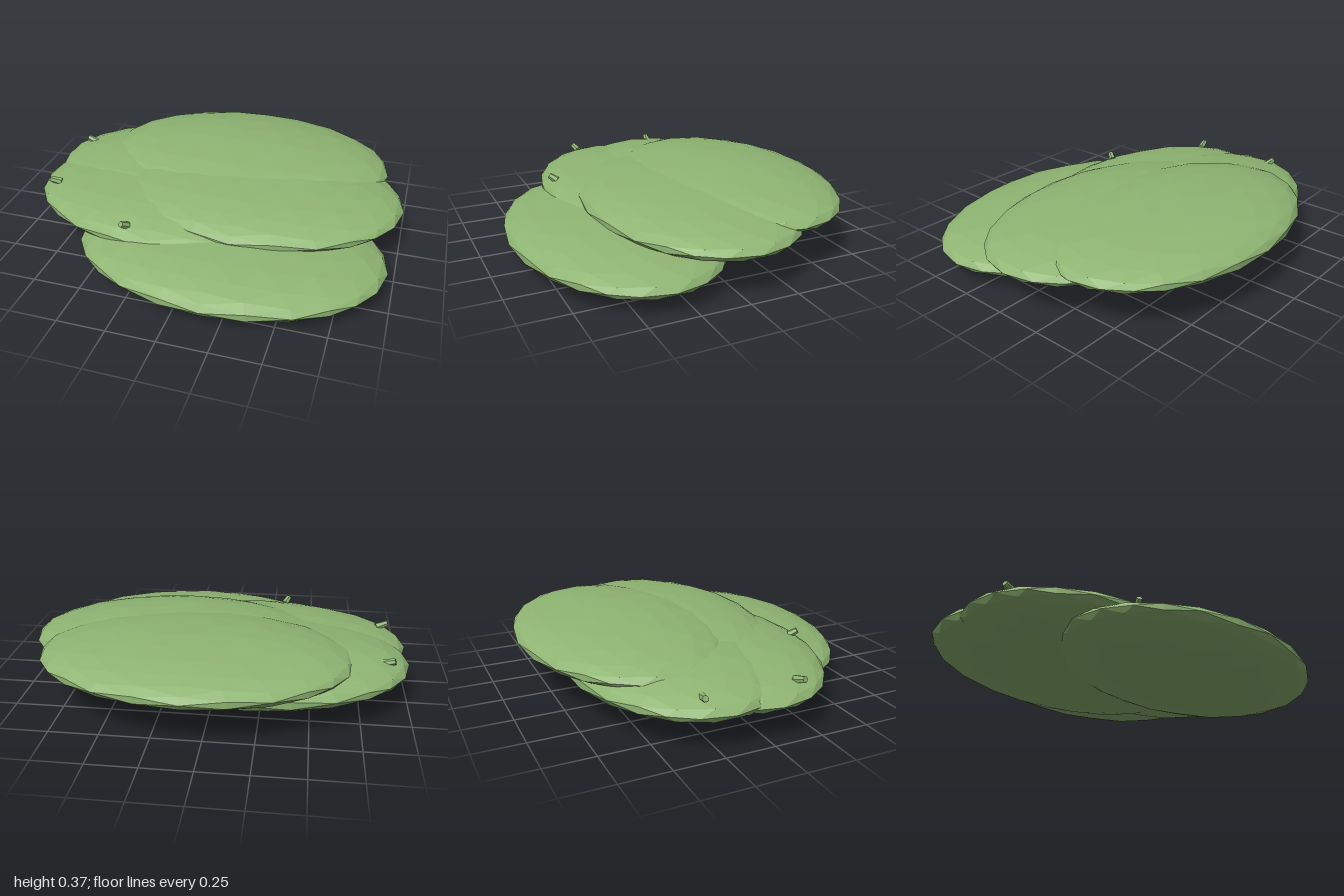
import * as THREE from 'three';

export function createModel() {
  const model = new THREE.Group();
  model.name = 'padCluster';
  const green = new THREE.MeshStandardMaterial({ color: 0x8fb573, flatShading: true });
  green.name = 'leaf green';

  // Overlapping flattened pads: name, centre, half thickness
  const pads = [
    ['frontPad', 0.17, 0.115, 0.35, 0.115],
    ['leftFrontPad', -0.2, 0.183, 0.04, 0.112],
    ['leftBackPad', -0.2, 0.193, -0.2, 0.123],
    ['middlePad', 0.2, 0.23, -0.05, 0.112],
    ['backPad', 0.085, 0.26, -0.35, 0.112],
  ];
  const padGeometry = new THREE.IcosahedronGeometry(1, 3);
  for (const [name, x, y, z, thickness] of pads) {
    const pad = new THREE.Mesh(padGeometry, green);
    pad.name = name;
    pad.position.set(x, y, z);
    pad.scale.set(0.8, thickness, 0.535);
    model.add(pad);
  }

  // Small stubby spines on the upper rims: centre, direction, length
  const spines = [
    [[-0.885, 0.25, -0.305], [-1, 0.3, -0.2], 0.065],
    [[-0.885, 0.245, 0.19], [-1, 0.3, 0.25], 0.065],
    [[-0.345, 0.25, 0.5], [-0.45, 0.5, 0.7], 0.05],
  ];
  const up = new THREE.Vector3(0, 1, 0);
  for (const [position, direction, length] of spines) {
    const spine = new THREE.Mesh(new THREE.CylinderGeometry(0.016, 0.021, length, 6), green);
    spine.name = 'spine';
    spine.position.set(...position);
    spine.quaternion.setFromUnitVectors(up, new THREE.Vector3(...direction).normalize());
    model.add(spine);
  }
  return model;
}
